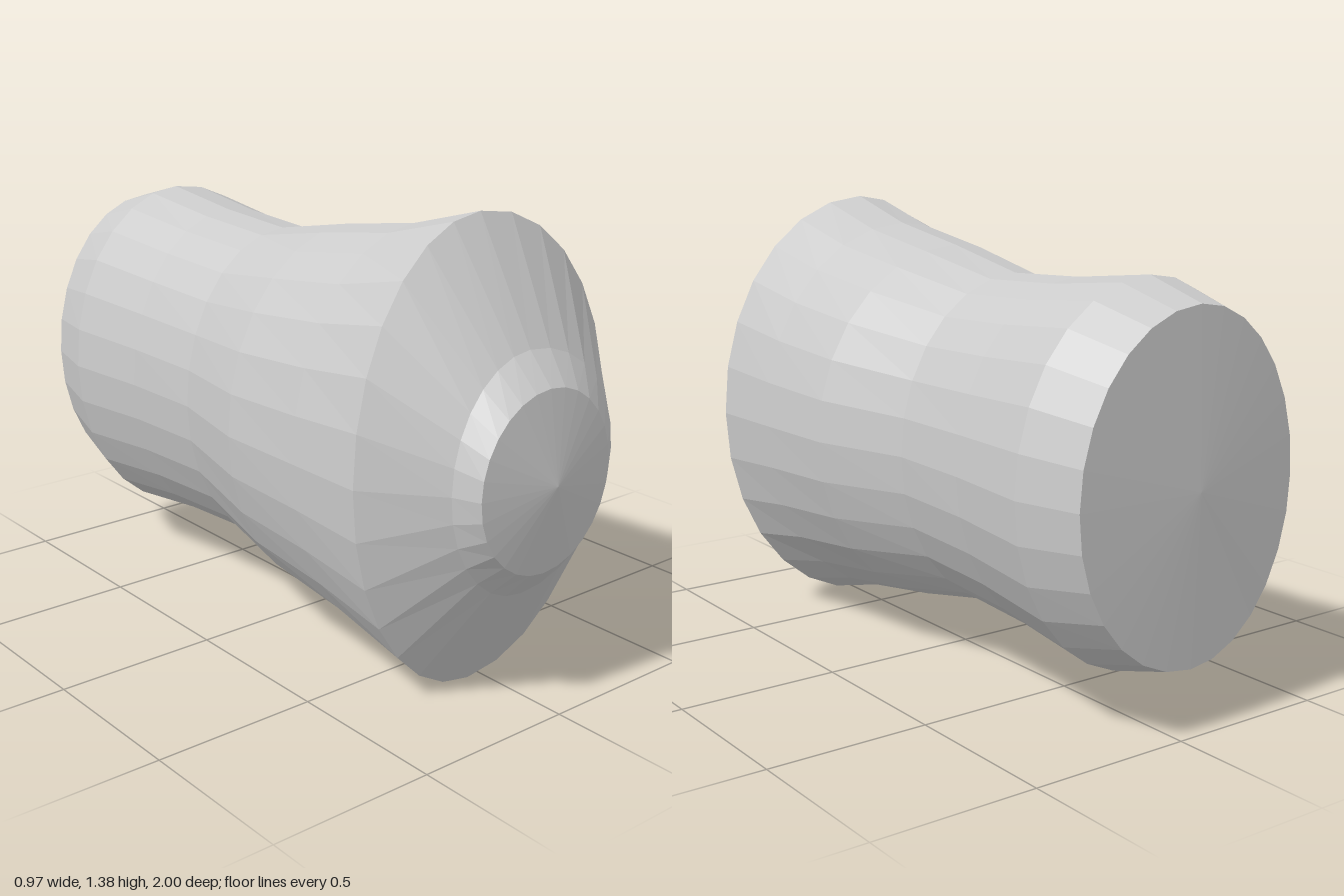
import * as THREE from 'three';

const SIDES = 28;
const CX = -0.047, CY = 0.69;

// Cross-sections from front to back: [z, width to -x, width to +x, half height]
const SECTIONS = [
  [1.0, 0, 0, 0],
  [0.96, 0.243, 0.243, 0.262],
  [0.88, 0.273, 0.345, 0.35],
  [0.68, 0.44, 0.532, 0.69],
  [0.42, 0.44, 0.522, 0.617],
  [0.12, 0.44, 0.508, 0.568],
  [-0.19, 0.373, 0.415, 0.508],
  [-0.48, 0.38, 0.425, 0.523],
  [-0.78, 0.41, 0.455, 0.557],
  [-0.98, 0.36, 0.402, 0.5],
  [-1.0, 0, 0, 0],
];

// Point on a lopsided ellipse
function ringPoint([z, left, right, h], j) {
  const a = (j % SIDES) / SIDES * Math.PI * 2;
  const c = Math.cos(a);
  return [CX + c * (c > 0 ? right : left), CY + Math.sin(a) * h, z];
}

// Skin neighbouring sections; sections of zero size become the cap centres
function loft(sections) {
  const pos = [];
  for (let i = 0; i < sections.length - 1; i++) {
    const front = sections[i], back = sections[i + 1];
    for (let j = 0; j < SIDES; j++) {
      const a = ringPoint(front, j), b = ringPoint(back, j);
      const c = ringPoint(front, j + 1), d = ringPoint(back, j + 1);
      if (front[3] > 0) pos.push(...a, ...b, ...c);
      if (back[3] > 0) pos.push(...b, ...d, ...c);
    }
  }
  const geo = new THREE.BufferGeometry();
  geo.setAttribute('position', new THREE.Float32BufferAttribute(pos, 3));
  geo.computeVertexNormals();
  return geo;
}

export function createModel() {
  const group = new THREE.Group();
  const material = new THREE.MeshStandardMaterial({ color: 0xcccccc, flatShading: true });
  const add = (name, from, to) => {
    const mesh = new THREE.Mesh(loft(SECTIONS.slice(from, to + 1)), material);
    mesh.name = name;
    group.add(mesh);
  };
  add('noseTip', 0, 1);
  add('noseCone', 1, 3);
  add('body', 3, 9);
  add('backCap', 9, 10);
  return group;
}
